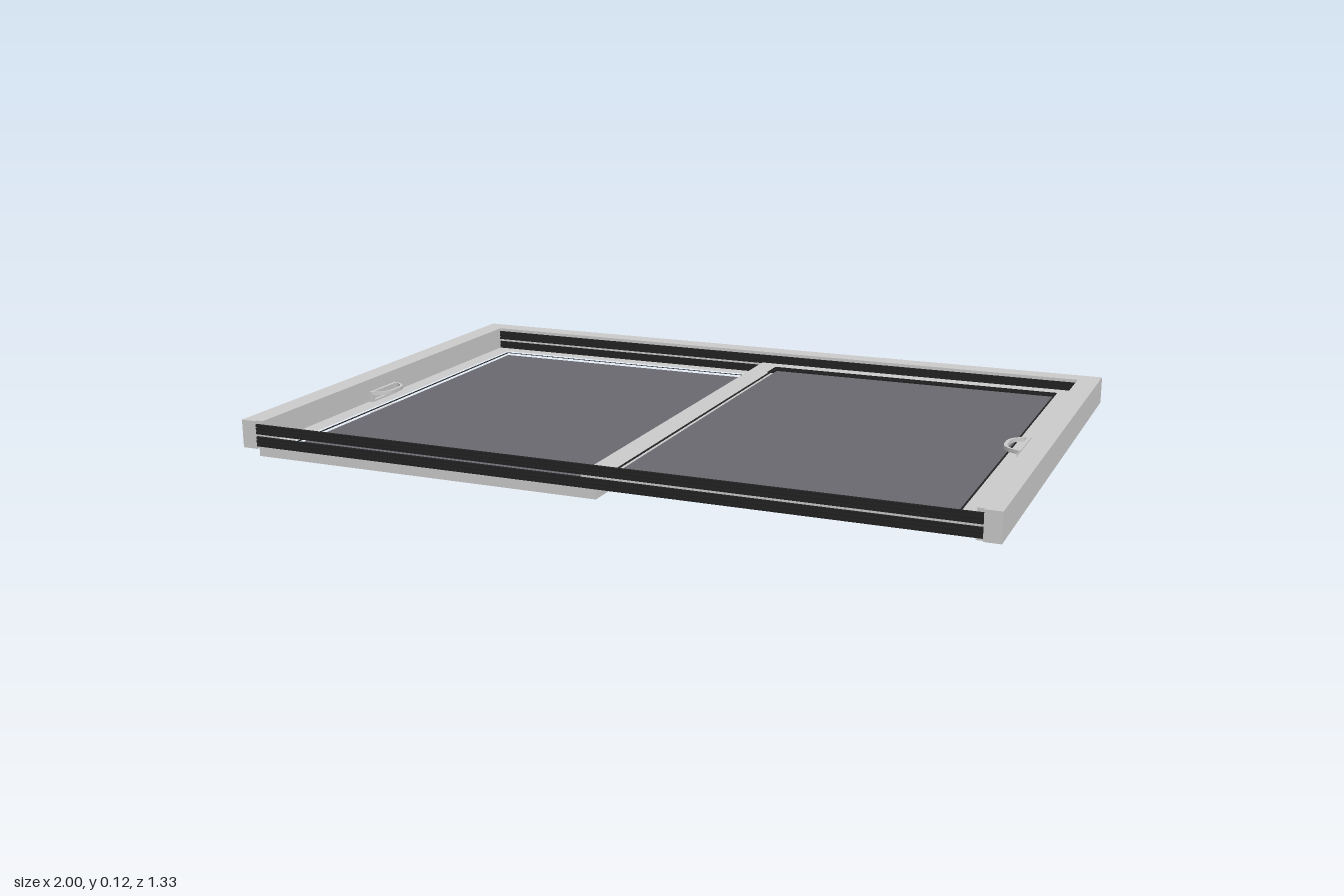
import * as THREE from 'three';

const metal = new THREE.MeshStandardMaterial({ color: 0xcccccc });
const glassMat = new THREE.MeshStandardMaterial({ color: 0x6a696f });
const rubber = new THREE.MeshStandardMaterial({ color: 0x222222 });

// Box given by its minimum and maximum corners
function box(parent, name, material, [x0, y0, z0], [x1, y1, z1]) {
  const mesh = new THREE.Mesh(new THREE.BoxGeometry(x1 - x0, y1 - y0, z1 - z0), material);
  mesh.position.set((x0 + x1) / 2, (y0 + y1) / 2, (z0 + z1) / 2);
  mesh.name = name;
  parent.add(mesh);
  return mesh;
}

// Rectangular ring lying flat, between an outer and an inner rectangle [x0, z0, x1, z1]
function ring(parent, name, material, outer, inner, y0, y1) {
  const corners = ([x0, z0, x1, z1]) =>
    [[x0, -z0], [x1, -z0], [x1, -z1], [x0, -z1]].map(([x, y]) => new THREE.Vector2(x, y));
  const shape = new THREE.Shape(corners(outer));
  shape.holes.push(new THREE.Path(corners(inner)));
  const geo = new THREE.ExtrudeGeometry(shape, { depth: y1 - y0, bevelEnabled: false });
  geo.rotateX(-Math.PI / 2).translate(0, y0, 0);
  const mesh = new THREE.Mesh(geo, material);
  mesh.name = name;
  parent.add(mesh);
}

// D-shaped outline with its straight side on x = 0, bulging by depth
function dOutline(target, inset, depth, half) {
  const d = depth - inset, h = half - inset;
  target.moveTo(inset, -h);
  target.lineTo(inset + 0.006, -h);
  target.bezierCurveTo(d, -h * 0.75, d, -h * 0.4, d, 0);
  target.bezierCurveTo(d, h * 0.4, d, h * 0.75, inset + 0.006, h);
  target.lineTo(inset, h);
  target.closePath();
  return target;
}

// Pull handle standing on y = 0, its grip 0.03 above, bulging to +x
function pullHandle() {
  const handle = new THREE.Group();
  handle.name = 'pullHandle';
  const shape = dOutline(new THREE.Shape(), 0, 0.052, 0.066);
  shape.holes.push(dOutline(new THREE.Path(), 0.009, 0.052, 0.066));
  const geo = new THREE.ExtrudeGeometry(shape, { depth: 0.01, bevelEnabled: false, curveSegments: 10 });
  geo.rotateX(-Math.PI / 2).translate(0, 0.02, 0);
  const grip = new THREE.Mesh(geo, metal);
  grip.name = 'handleGrip';
  handle.add(grip);
  box(handle, 'handleFoot', metal, [0, 0, -0.066], [0.01, 0.005, 0.066]);
  for (const s of [-1, 1]) {
    const z = s * 0.061;
    box(handle, 'handlePost', metal, [0, 0, z - 0.005], [0.01, 0.024, z + 0.005]);
  }
  return handle;
}

// Sliding sash: frame, gasket, pane and a handle on each face; side is -1 or 1
function sash(name, side, y) {
  const g = new THREE.Group();
  g.name = name;
  const span = (a, b) => [Math.min(a * side, b * side), Math.max(a * side, b * side)];
  const [x0, x1] = span(-0.02, 0.954);
  const [i0, i1] = span(0.037, 0.892);
  const top = y + 0.031;
  ring(g, 'sashFrame', metal, [x0, -0.62, x1, 0.662], [i0, -0.565, i1, 0.6], y, top);
  ring(g, 'gasket', rubber, [i0, -0.565, i1, 0.6],
    [i0 + 0.008, -0.557, i1 - 0.008, 0.592], y + 0.004, top - 0.004);
  box(g, 'glass', glassMat, [i0 + 0.006, y + 0.011, -0.559], [i1 - 0.006, top - 0.011, 0.594]);
  for (const up of [1, -1]) {
    const handle = pullHandle();
    handle.position.set(side * 0.936, up > 0 ? top : y, 0.106);
    // flip over for the lower face, turn round for the right-hand sash
    if (up < 0) handle.rotation.x = Math.PI;
    if (side > 0) handle.rotation.y = Math.PI;
    g.add(handle);
  }
  return g;
}

// Pair of ribbed seal strips running along x
function seals(name, half, z0, z1, out) {
  const g = new THREE.Group();
  g.name = name;
  for (const y of [0.061, 0.094]) {
    box(g, 'sealBacking', rubber, [-half, y, z0], [half, y + 0.026, z1]);
    for (let i = 0; i < 3; i++) {
      const y0 = y + i * 0.0095;
      const z = out > 0 ? z1 : z0;
      box(g, 'sealRib', rubber, [-half, y0, z - 0.003], [half, y0 + 0.007, z + 0.003]);
    }
  }
  return g;
}

export function createModel() {
  const model = new THREE.Group();
  model.name = 'slidingWindow';

  // Outer frame, open along the front
  const frame = new THREE.Group();
  frame.name = 'outerFrame';
  const low = 0.054, high = 0.129;
  box(frame, 'backRail', metal, [-1, low, -0.667], [1, high, -0.61]);
  for (const s of [-1, 1]) {
    const outer = s * 0.97;
    box(frame, 'sideRail', metal, [outer - 0.03, low, -0.61], [outer + 0.03, high, 0.66]);
    // narrower end beside the front seals
    const end = s * 0.979;
    box(frame, 'railEnd', metal, [end - 0.021, low, 0.66], [end + 0.021, high, 0.667]);
  }
  model.add(frame);

  // Seals along the open front and inside the back rail
  model.add(seals('frontSeals', 0.958, 0.66, 0.664, 1));
  model.add(seals('backSeals', 0.958, -0.611, -0.608, 1));

  // Two sashes on separate tracks
  model.add(sash('lowerSash', -1, 0.034));
  model.add(sash('upperSash', 1, 0.065));
  return model;
}
